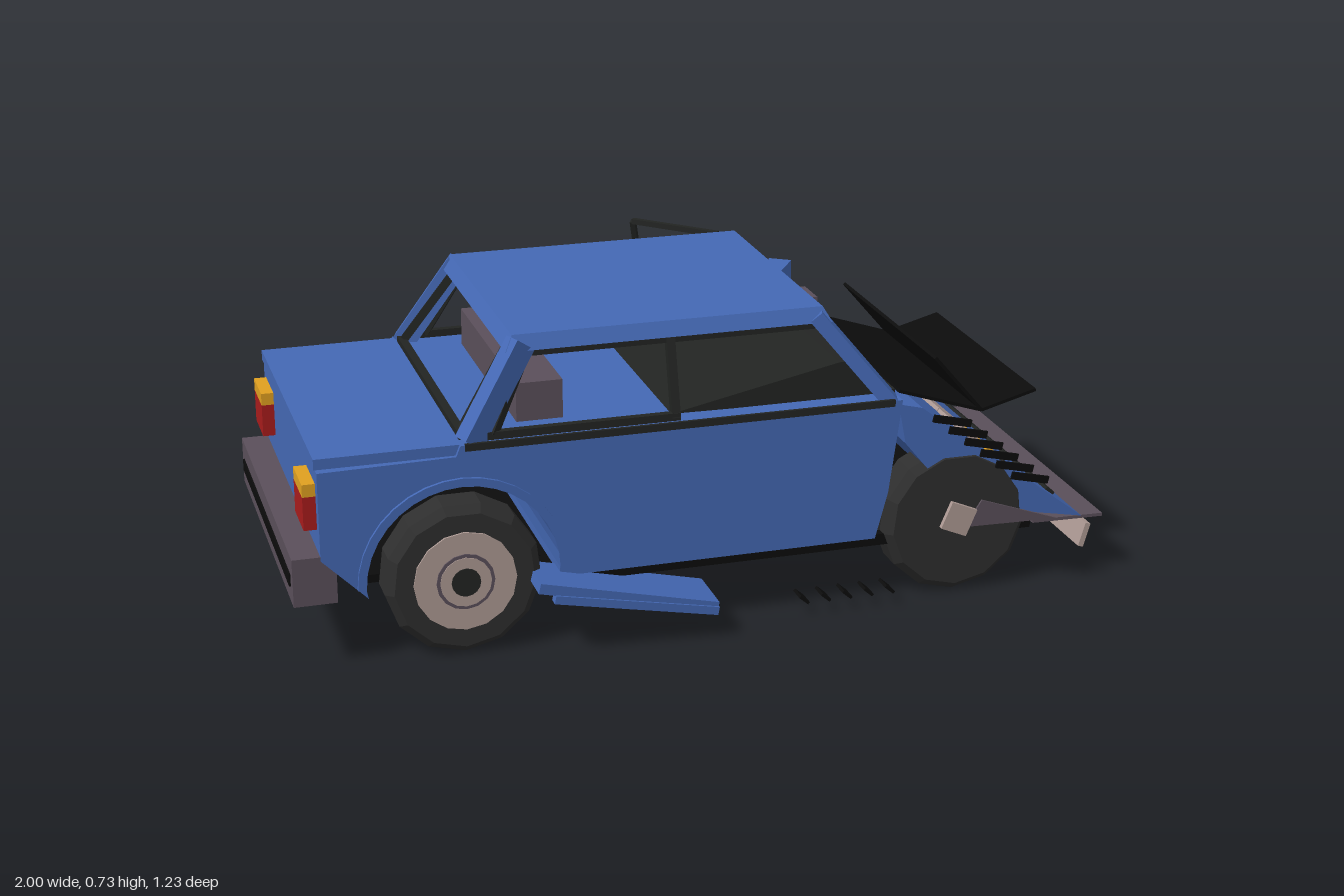
import * as THREE from 'three';

const mat = (name, color) => Object.assign(new THREE.MeshStandardMaterial({ color }), { name });

export function createModel() {
  const car = new THREE.Group();
  car.name = 'wreckedCar';
  const blue = mat('bluePaint', 0x4468b4), black = mat('black', 0x0c0c0c), trim = mat('darkTrim', 0x222422);
  const rubber = mat('rubber', 0x2e2e2e), grey = mat('bumperGrey', 0x5a4f5a), light = mat('paleMetal', 0xae9a94);
  const red = mat('redLamp', 0xa81c1c), orange = mat('orangeLamp', 0xe0a020);
  const CZ = 0.12; // car centreline in z

  const add = (name, geo, m) => {
    const mesh = new THREE.Mesh(geo, m);
    mesh.name = name;
    car.add(mesh);
    return mesh;
  };
  // box given by its limits
  const box = (name, m, x0, x1, y0, y1, z0, z1) => {
    const mesh = add(name, new THREE.BoxGeometry(x1 - x0, y1 - y0, z1 - z0), m);
    mesh.position.set((x0 + x1) / 2, (y0 + y1) / 2, (z0 + z1) / 2);
    return mesh;
  };
  // side outline swept between two z values
  const sweep = (name, m, shape, z0, z1) => {
    const geo = new THREE.ExtrudeGeometry(shape, { depth: z1 - z0, bevelEnabled: false, curveSegments: 9 });
    geo.translate(0, 0, z0);
    return add(name, geo, m);
  };
  const outline = pts => new THREE.Shape(pts.map(p => new THREE.Vector2(...p)));
  // flat bar between two points of the side outline
  const plate = (name, m, a, b, t, z0, z1) => {
    const dx = b[0] - a[0], dy = b[1] - a[1];
    const mesh = add(name, new THREE.BoxGeometry(Math.hypot(dx, dy), t, z1 - z0), m);
    mesh.position.set((a[0] + b[0]) / 2, (a[1] + b[1]) / 2, (z0 + z1) / 2);
    mesh.rotation.z = Math.atan2(dy, dx);
    return mesh;
  };
  // square bar between two points in space
  const beam = (name, m, a, b, w, h = w) => {
    const p = new THREE.Vector3(...a), q = new THREE.Vector3(...b);
    const mesh = add(name, new THREE.BoxGeometry(w, h, p.distanceTo(q)), m);
    mesh.position.copy(p).lerp(q, 0.5);
    mesh.lookAt(q);
    return mesh;
  };

  // main body with open rear wheel arch
  const body = outline([[0.39, 0.165], [0.42, 0.28], [0.45, 0.51], [-0.61, 0.51], [-0.62, 0.485],
    [-0.935, 0.48], [-0.935, 0.27], [-0.83, 0.165]]);
  body.absarc(-0.61, 0.19, 0.225, Math.PI, 0, true);
  body.lineTo(-0.385, 0.165);
  sweep('body', blue, body, -0.28, 0.52);
  box('trunkLid', blue, -0.94, -0.6, 0.485, 0.51, -0.27, 0.51);
  box('floor', black, -0.47, 0.8, 0.14, 0.168, -0.265, 0.505);
  box('rearFloor', black, -0.83, -0.4, 0.15, 0.17, -0.16, 0.4);
  for (const [s, z] of [[-1, -0.28], [1, 0.52]]) {
    box('beltTrim', trim, -0.6, 0.43, 0.497, 0.514, z - 0.004, z + 0.004);
    // wheel arch lip
    const lip = new THREE.Shape();
    lip.absarc(-0.61, 0.19, 0.245, 0, Math.PI, false);
    lip.absarc(-0.61, 0.19, 0.225, Math.PI, 0, true);
    sweep('archLip', blue, lip, z - 0.008, z + 0.008);
    box('chassisEnd', rubber, 0.39, 0.46, 0.145, 0.22, z - s * 0.06 - 0.02, z - s * 0.06 + 0.02);
  }
  box('sideMoulding', trim, -0.37, -0.02, 0.275, 0.29, -0.286, -0.28);

  // roof slab, narrower at the top
  const roofGeo = new THREE.BoxGeometry(0.78, 0.035, 0.69);
  const rp = roofGeo.attributes.position;
  for (let i = 0; i < rp.count; i++) {
    if (rp.getY(i) > 0) rp.setXYZ(i, rp.getX(i) * 0.95, rp.getY(i), rp.getZ(i) * 0.95);
  }
  roofGeo.computeVertexNormals();
  add('roof', roofGeo, blue).position.set(-0.1, 0.718, CZ);

  // pillars and window frames
  for (const s of [-1, 1]) {
    const lo = CZ + s * 0.375, hi = CZ + s * 0.325;
    beam('frontPillar', blue, [0.43, 0.5, lo], [0.255, 0.715, hi], 0.045, 0.035);
    beam('rearPillar', blue, [-0.585, 0.505, lo], [-0.45, 0.715, hi], 0.045, 0.055);
    beam('middlePillar', trim, [-0.1, 0.515, lo], [-0.1, 0.7, hi], 0.02);
    beam('rearWindowFrame', trim, [-0.53, 0.52, lo], [-0.44, 0.69, hi], 0.018);
    beam('sideWindowTop', trim, [-0.45, 0.693, hi], [0.25, 0.693, hi], 0.018);
    beam('sideWindowBase', trim, [-0.55, 0.52, lo], [-0.09, 0.52, lo], 0.018);
    beam('windscreenEdge', trim, [0.43, 0.52, lo - s * 0.035], [0.27, 0.7, hi - s * 0.035], 0.02);
    beam('backWindowEdge', trim, [-0.59, 0.525, lo - s * 0.04], [-0.47, 0.7, hi - s * 0.035], 0.02);
  }
  for (const [x, y, h] of [[0.435, 0.515, 0.36], [0.275, 0.697, 0.31], [-0.595, 0.515, 0.36], [-0.47, 0.697, 0.31]]) {
    beam('windowCrossFrame', trim, [x, y, CZ - h], [x, y, CZ + h], 0.02);
  }

  // cabin: pushed-in dashboard, rear seat and mirror
  sweep('dashboard', trim, outline([[-0.1, 0.512], [0.42, 0.505], [0.36, 0.6], [0.31, 0.597]]), -0.22, 0.46);
  box('rearSeat', grey, -0.455, -0.345, 0.512, 0.605, -0.17, 0.41);
  box('cabinMirror', grey, 0.33, 0.36, 0.63, 0.665, 0.08, 0.17);

  // crushed nose
  sweep('crushedNose', blue, outline([[0.46, 0.4], [0.56, 0.28], [0.72, 0.2], [0.93, 0.16], [0.5, 0.485], [0.44, 0.5]]), -0.28, 0.52);
  // thin details laid on the slope, between two heights
  const onNose = (name, m, yTop, yLow, z0, z1, t) => {
    const at = y => [0.5 + (0.485 - y) * 1.323 + 0.002, y + 0.003];
    return plate(name, m, at(yTop), at(yLow), t, z0, z1);
  };
  for (const [z0, z1, e0, e1] of [[0.315, 0.48, 0.31, 0.51], [-0.235, -0.07, -0.265, -0.07]]) {
    onNose('headlight', light, 0.39, 0.353, z0, z1, 0.012);
    onNose('frontIndicator', orange, 0.353, 0.344, e0, e1, 0.014);
  }
  onNose('grille', light, 0.386, 0.348, -0.055, 0.3, 0.012);
  onNose('noseStripe', trim, 0.218, 0.202, -0.22, 0.47, 0.008);
  plate('frontBumperLip', grey, [0.8, 0.16], [0.985, 0.157], 0.008, -0.28, 0.52);
  for (const z of [-0.286, 0.522]) {
    sweep('bumperCorner', grey, outline([[0.62, 0.17], [0.86, 0.165], [0.66, 0.235]]), z, z + 0.006);
  }

  // folded hood plate
  plate('hoodUpper', black, [0.565, 0.575], [0.69, 0.43], 0.008, -0.185, 0.435);
  plate('hoodLower', black, [0.69, 0.43], [0.83, 0.468], 0.008, -0.185, 0.435);
  plate('hoodInner', black, [0.475, 0.5], [0.69, 0.43], 0.008, -0.185, 0.435);

  // wheels: tyre, hub and rings
  const wheel = (name, x, z, s, hub) => {
    const g = new THREE.Group();
    g.name = name;
    const disc = (part, m, r, d, off, n = 16) => {
      const mesh = new THREE.Mesh(new THREE.CylinderGeometry(r, r, d, n), m);
      mesh.name = part;
      mesh.rotation.x = Math.PI / 2;
      mesh.position.z = s * off;
      g.add(mesh);
    };
    const tyre = new THREE.LatheGeometry([[0, -0.055], [0.165, -0.055], [0.184, -0.035], [0.184, 0.035],
      [0.165, 0.055], [0, 0.055]].map(p => new THREE.Vector2(...p)), 13).toNonIndexed();
    tyre.computeVertexNormals();
    const t = new THREE.Mesh(tyre, rubber);
    t.name = 'tyre';
    t.rotation.x = Math.PI / 2;
    g.add(t);
    if (hub) {
      disc('hubDisc', light, 0.12, 0.008, 0.056);
      disc('hubRing', grey, 0.068, 0.008, 0.059);
      disc('hubInner', light, 0.06, 0.008, 0.061);
      disc('hubCentre', trim, 0.034, 0.008, 0.064);
    }
    g.position.set(x, 0.188, z);
    car.add(g);
    return disc;
  };
  wheel('rearWheelPlusZ', -0.61, 0.478, 1, true);
  wheel('rearWheelMinusZ', -0.61, -0.24, -1, true);
  wheel('frontWheelPlusZ', 0.6, 0.468, 1, false);
  wheel('frontWheelMinusZ', 0.6, -0.24, -1, false)('bentHub', light, 0.16, 0.008, 0.06, 9);
  box('brokenHub', light, 0.565, 0.635, 0.16, 0.23, 0.515, 0.535).rotation.z = -0.4;

  // rear bumper and lamps
  box('rearBumper', grey, -1, -0.9, 0.165, 0.28, -0.28, 0.52);
  box('rearBumperStripe', black, -1.004, -0.999, 0.205, 0.235, -0.25, 0.49);
  for (const [z0, z1] of [[-0.25, -0.13], [0.37, 0.49]]) {
    box('tailLamp', red, -0.965, -0.935, 0.335, 0.415, z0, z1);
    box('rearIndicator', orange, -0.965, -0.935, 0.415, 0.445, z0, z1);
  }

  // open door with leaning window frame
  const hinge = [0.41, -0.285], edge = [0.125, -0.612];
  const along = (t, y, lean = 0) => [hinge[0] + (edge[0] - hinge[0]) * t - lean, y, hinge[1] + (edge[1] - hinge[1]) * t + lean * 0.8];
  beam('openDoor', blue, along(0, 0.347), along(1, 0.347), 0.012, 0.315);
  beam('doorMoulding', trim, along(0.03, 0.282), along(1, 0.282), 0.02, 0.016);
  const frame = [along(0.05, 0.525), along(0.97, 0.525), along(0.93, 0.68, 0.045), along(0.32, 0.685, 0.045)];
  frame.forEach((p, i) => beam('doorWindowFrame', trim, p, frame[(i + 1) % 4], 0.014));
  beam('doorFrameFoot', trim, along(0.05, 0.51), along(0.97, 0.51), 0.008, 0.02);
  box('sideMirror', blue, 0.4, 0.46, 0.53, 0.59, -0.4, -0.29).rotation.y = -0.6;

  // loose parts beside the car
  plate('looseFender', blue, [-0.455, 0.18], [-0.03, 0.08], 0.025, 0.47, 0.61);
  plate('looseFenderEdge', blue, [-0.42, 0.15], [-0.03, 0.072], 0.02, 0.59, 0.615);
  for (let i = 0; i < 6; i++) {
    const x = 0.49 + i * 0.041, y = 0.492 - i * 0.033;
    plate('looseSlat', black, [x, y], [x + 0.095, y - 0.022], 0.018, 0.608, 0.614);
  }
  for (let i = 0; i < 5; i++) {
    const x = 0.2 + i * 0.054;
    plate('looseGrilleBar', black, [x - 0.01, 0.055], [x + 0.012, 0.036], 0.007, 0.515, 0.56);
  }
  plate('looseBumperBar', light, [0.973, 0.04], [0.99, 0.1], 0.014, -0.19, 0.44);

  return car;
}
